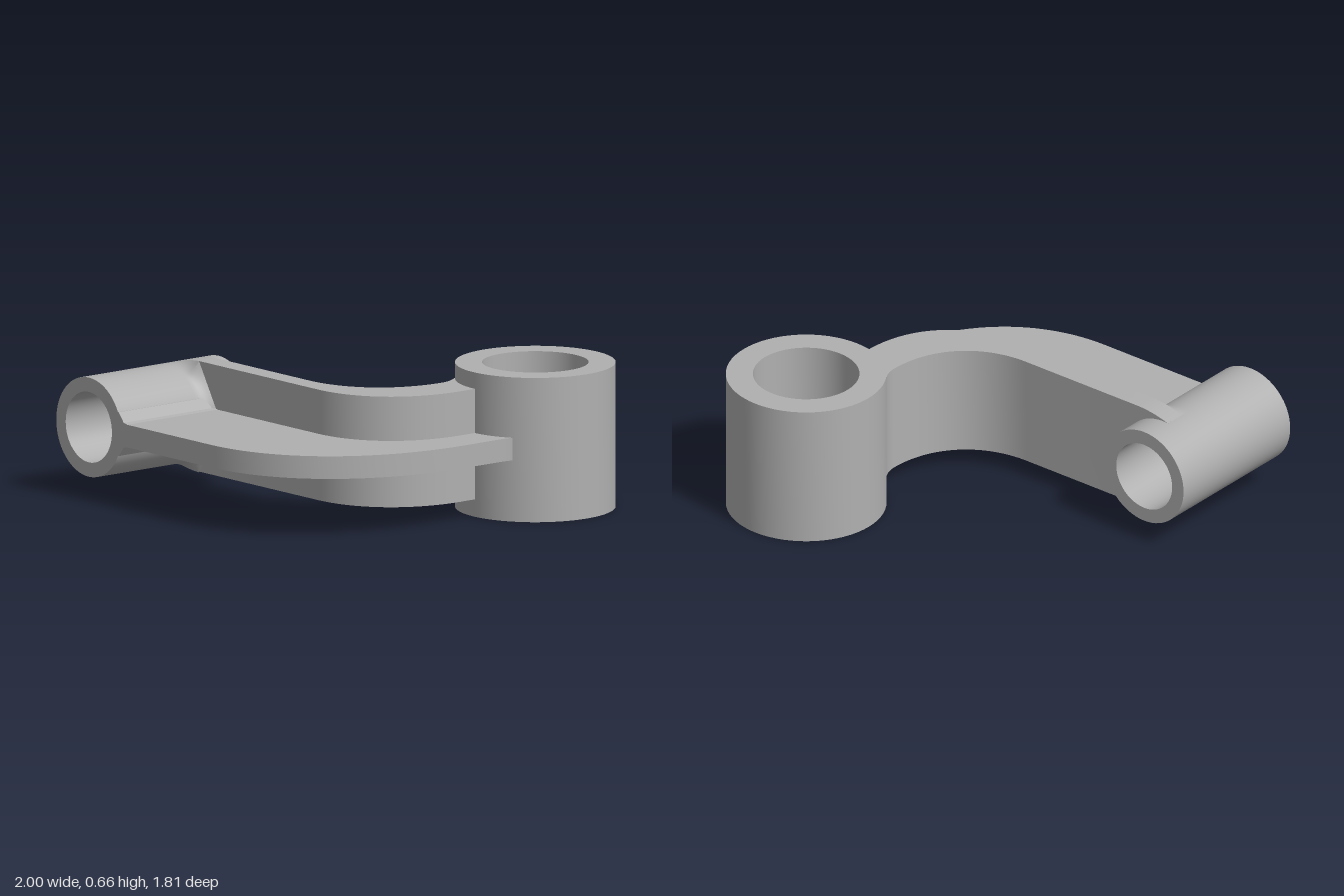
import * as THREE from 'three';
import { toCreasedNormals } from 'three/addons/utils/BufferGeometryUtils.js';

const metal = new THREE.MeshStandardMaterial({ color: 0xb0b0b0, side: THREE.DoubleSide });
metal.name = 'grey metal';

function extrude(shape, depth) {
  return toCreasedNormals(new THREE.ExtrudeGeometry(shape, { depth, bevelEnabled: false, curveSegments: 32 }), 0.5);
}

// Plan outline (x, z) raised between two heights
function plan(shape, bottom, top) {
  return extrude(shape, top - bottom).rotateX(Math.PI / 2).translate(0, top, 0);
}

function ring(x, y, outer, inner) {
  const s = new THREE.Shape().absarc(x, y, outer, 0, Math.PI * 2, false);
  s.holes.push(new THREE.Path().absarc(x, y, inner, 0, Math.PI * 2, true));
  return s;
}

// Quarter bend from a run along x to a run along z, in either direction
function bend(s, x0, z0, x1, z1, reverse = false) {
  const k = 0.6;
  const a = [x0 + (x1 - x0) * k, z0], b = [x1, z1 + (z0 - z1) * k];
  if (reverse) s.bezierCurveTo(...b, ...a, x0, z0);
  else s.bezierCurveTo(...a, ...b, x1, z1);
}

const CX = -0.77, CY = 0.332, R = 0.228;

// Concave blend between the wall face and the horizontal sleeve
function filletGeometry(side) {
  const cols = 24, rows = 8, pos = [], idx = [];
  const top = new THREE.QuadraticBezierCurve(
    new THREE.Vector2(-0.8, 0.558), new THREE.Vector2(-0.72, 0.585), new THREE.Vector2(-0.63, 0.588));
  for (let j = 0; j <= rows; j++) {
    const t = j / rows, w = (1 - t) ** 2;
    for (let i = 0; i <= cols; i++) {
      const u = i / cols;
      const p = u < 0.5 ? top.getPoint(u * 2)
        : new THREE.Vector2(-0.63, 0.588).lerp(new THREE.Vector2(-0.51, 0.385), u * 2 - 1);
      const a = THREE.MathUtils.lerp(1.7, 0.23, u);
      const x = THREE.MathUtils.lerp(CX + R * Math.cos(a), p.x, w);
      const y = THREE.MathUtils.lerp(CY + R * Math.sin(a), p.y, w);
      pos.push(x, CY + side * (y - CY), 0.37 + 0.07 * t);
      if (i < cols && j < rows) {
        const q = j * (cols + 1) + i, n = q + cols + 1;
        if (side > 0) idx.push(q, n, q + 1, q + 1, n, n + 1);
        else idx.push(q, q + 1, n, q + 1, n + 1, n);
      }
    }
  }
  const g = new THREE.BufferGeometry();
  g.setAttribute('position', new THREE.Float32BufferAttribute(pos, 3));
  g.setIndex(idx);
  // Faces are wound to look outward, towards +z
  g.computeVertexNormals();
  return toCreasedNormals(g, 0.5);
}

export function createModel() {
  const group = new THREE.Group();
  const add = (name, geometry) => {
    const mesh = new THREE.Mesh(geometry, metal);
    mesh.name = name;
    group.add(mesh);
  };

  // Bored sleeves
  add('verticalSleeve', plan(ring(0.637, -0.543, 0.362, 0.24), 0, 0.663));
  add('horizontalSleeve', extrude(ring(CX, CY, R, 0.162), 0.762).translate(0, 0, 0.138));

  // Tall curved wall, thicker towards the vertical sleeve
  const wall = new THREE.Shape().moveTo(-0.5, 0.27);
  wall.lineTo(0.02, 0.27);
  bend(wall, 0.02, 0.27, 0.443, -0.16);
  wall.quadraticCurveTo(0.442, -0.21, 0.4, -0.265);
  wall.lineTo(0.43, -0.28);
  wall.lineTo(0.645, -0.25);
  wall.lineTo(0.645, -0.1);
  bend(wall, 0.2, 0.37, 0.645, -0.1, true);
  wall.lineTo(-0.5, 0.37);
  add('curvedWall', plan(wall, 0.08, 0.588));

  // Wide horizontal web on the outside of the wall
  const web = new THREE.Shape().moveTo(-0.5, 0.37);
  web.lineTo(0.2, 0.37);
  bend(web, 0.2, 0.37, 0.645, -0.1);
  web.lineTo(0.645, -0.25);
  web.lineTo(0.84, -0.25);
  web.quadraticCurveTo(0.828, -0.22, 0.828, -0.17);
  web.lineTo(0.828, 0.03);
  bend(web, 0.08, 0.9, 0.828, 0.03, true);
  web.lineTo(-0.5, 0.9);
  add('web', plan(web, 0.281, 0.385));

  // Flared web root along the horizontal sleeve
  const root = new THREE.Shape([
    [-0.5, 0.281], [-0.5, 0.385], [-0.525, 0.39], [-0.56, 0.433], [-0.57, 0.433],
    [-0.57, 0.232], [-0.56, 0.232], [-0.525, 0.276],
  ].map(p => new THREE.Vector2(...p)));
  add('webRoot', extrude(root, 0.53).translate(0, 0, 0.37));

  // Wall end wrapping tangentially onto the horizontal sleeve
  const end = new THREE.Shape().moveTo(-0.5, 0.08);
  end.lineTo(-0.5, 0.588);
  end.lineTo(-0.63, 0.588);
  end.quadraticCurveTo(-0.72, 0.585, -0.8, 0.558);
  end.absarc(CX, CY, 0.2, 1.7, -1.7, true);
  end.lineTo(-0.8, 0.106);
  end.quadraticCurveTo(-0.72, 0.083, -0.63, 0.08);
  add('wallEnd', extrude(end, 0.1).translate(0, 0, 0.27));

  for (const side of [1, -1]) add(side > 0 ? 'upperFillet' : 'lowerFillet', filletGeometry(side));
  return group;
}
